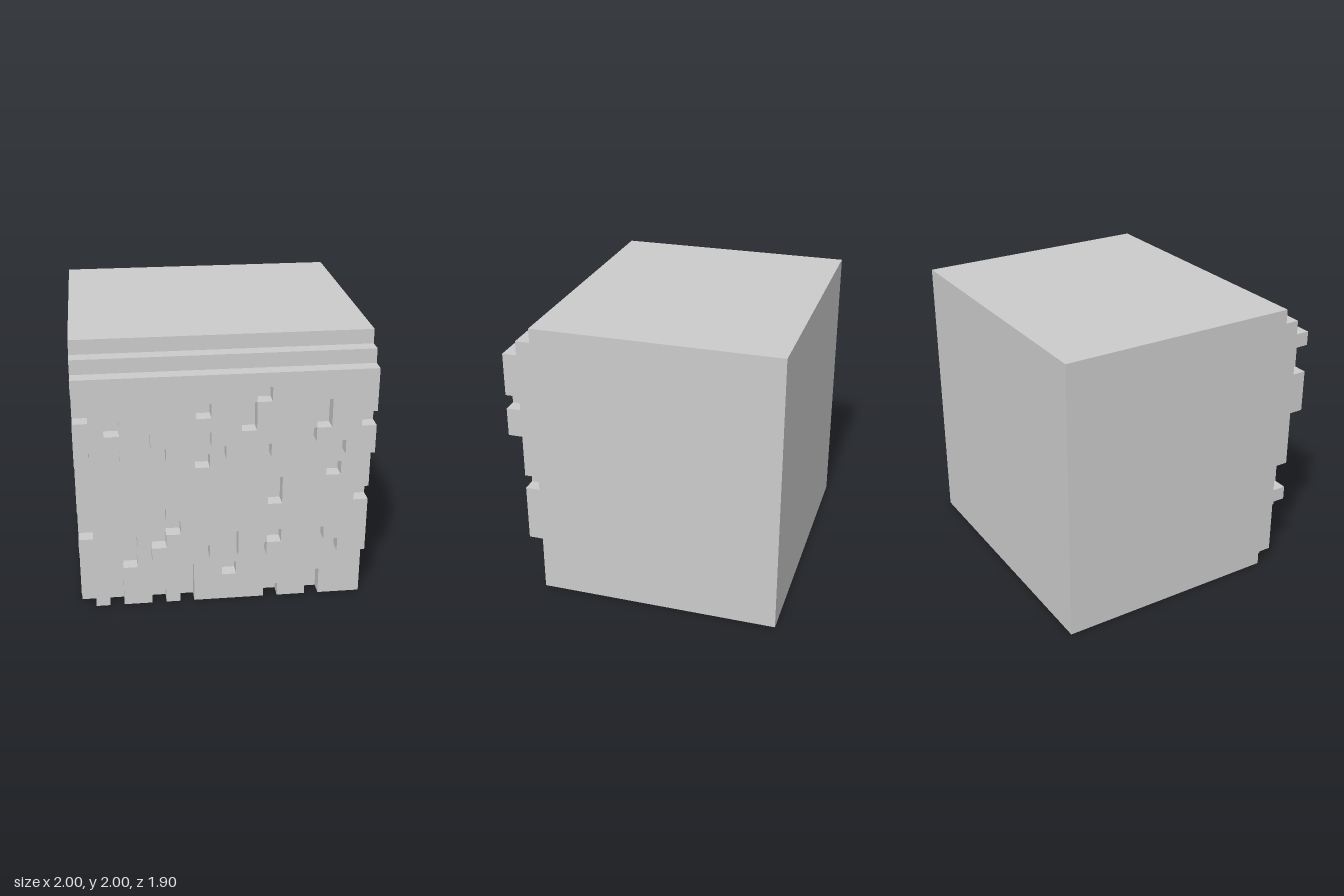
import * as THREE from 'three';

const N = 20;            // relief cells per side
const C = 0.1;           // cell size
const CORE_FRONT = 0.55; // front of the solid block behind the relief

// Horizontal bands of the front: rows [from, to) and front depth
const bands = [
  { name: 'bottomCourse', from: 0, to: 4, z: 0.75 },
  { name: 'middleCourse', from: 4, to: 12, z: 0.85 },
  { name: 'upperCourse', from: 12, to: 18, z: 0.95 },
  { name: 'upperStep', from: 18, to: 19, z: 0.85 },
  { name: 'topStep', from: 19, to: 20, z: 0.75 },
];

// Pits one cell deep: [column, first row, number of rows]
const pits = [
  // bottom course
  [0, 0, 1], [2, 0, 2], [3, 3, 1], [5, 0, 1], [7, 0, 3], [10, 2, 1], [13, 0, 1], [16, 0, 2],
  // ragged lower edge of the middle course
  [0, 4, 1], [3, 4, 2], [4, 4, 1], [8, 4, 1], [10, 4, 2], [12, 4, 1], [15, 4, 1], [16, 4, 2], [17, 4, 1],
  // middle course
  [0, 6, 2], [5, 5, 3], [6, 6, 1], [13, 5, 1], [13, 8, 2], [19, 8, 1], [17, 10, 1], [8, 11, 1],
  // ragged lower edge of the upper course
  [1, 12, 1], [2, 12, 1], [4, 12, 2], [5, 12, 1], [7, 12, 1], [8, 12, 2], [9, 12, 1],
  [11, 12, 1], [12, 12, 1], [15, 12, 2], [16, 12, 1], [17, 12, 1],
  // upper course
  [0, 15, 2], [2, 14, 1], [8, 15, 1], [11, 14, 2], [12, 16, 1], [16, 14, 2], [19, 14, 1],
];

// Front depth of every cell
const depth = Array.from({ length: N }, (_, row) => {
  const band = bands.find((b) => row >= b.from && row < b.to);
  return new Array(N).fill(band.z);
});
for (const [col, row, count] of pits) {
  for (let r = row; r < row + count; r++) depth[r][col] -= C;
}
const depthAt = (col, row) => depth[row]?.[col] ?? CORE_FRONT;

// Front faces of the cells plus walls wherever a neighbour lies deeper
function reliefGeometry(from, to) {
  const pos = [];
  const quad = (a, b, c, d) => pos.push(...a, ...b, ...c, ...a, ...c, ...d);
  const h = C / 2;
  for (let row = from; row < to; row++) {
    for (let col = 0; col < N; col++) {
      const x = -1 + col * C + h, y = row * C + h, z = depthAt(col, row);
      quad([x - h, y - h, z], [x + h, y - h, z], [x + h, y + h, z], [x - h, y + h, z]);
      for (const [dx, dy] of [[1, 0], [0, 1], [-1, 0], [0, -1]]) {
        const low = depthAt(col + dx, row + dy);
        if (low > z - 0.01) continue;
        const ax = x + h * (dx + dy), ay = y + h * (dy - dx);
        const bx = x + h * (dx - dy), by = y + h * (dy + dx);
        quad([ax, ay, z], [ax, ay, low], [bx, by, low], [bx, by, z]);
      }
    }
  }
  const geo = new THREE.BufferGeometry();
  geo.setAttribute('position', new THREE.Float32BufferAttribute(pos, 3));
  geo.computeVertexNormals();
  return geo;
}

export function createModel() {
  const group = new THREE.Group();
  group.name = 'stoneBlock';
  const material = new THREE.MeshStandardMaterial({ color: 0xcccccc, flatShading: true });

  // Plain block behind the relief
  const back = -0.95;
  const core = new THREE.Mesh(new THREE.BoxGeometry(2, 2, CORE_FRONT - back), material);
  core.name = 'blockCore';
  core.position.set(0, 1, (CORE_FRONT + back) / 2);
  group.add(core);

  // Pitted front courses and steps
  for (const { name, from, to } of bands) {
    const mesh = new THREE.Mesh(reliefGeometry(from, to), material);
    mesh.name = name;
    group.add(mesh);
  }
  return group;
}
